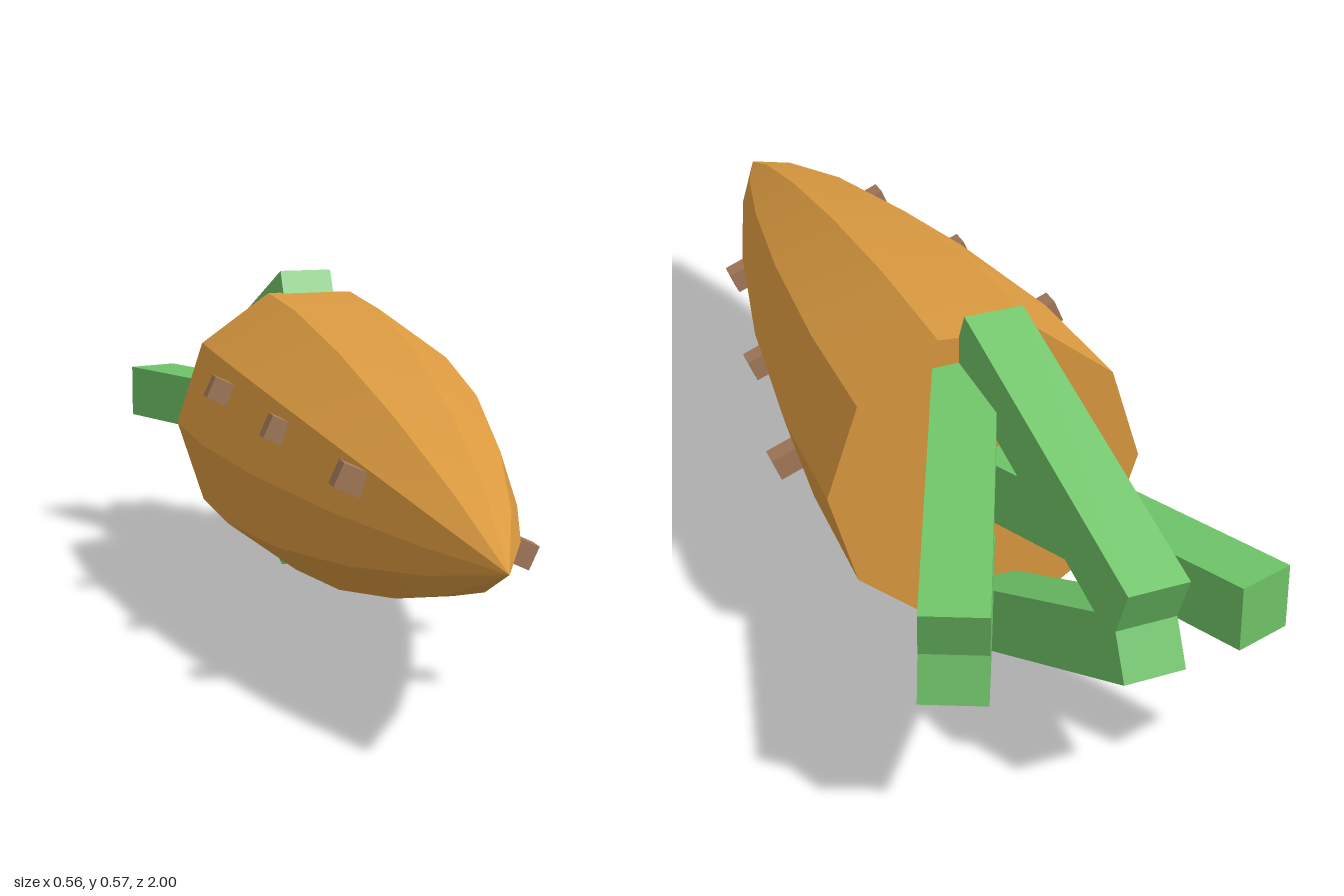
import * as THREE from 'three';
import { toCreasedNormals } from 'three/addons/utils/BufferGeometryUtils.js';

const material = (name, color) => {
  const m = new THREE.MeshStandardMaterial({ color });
  m.name = name;
  return m;
};

export function createModel() {
  const orange = material('carrot orange', 0xdb9a40);
  const green = material('leaf green', 0x6ec267);
  const brown = material('root brown', 0xa57a5a);
  const group = new THREE.Group();
  group.name = 'carrot';

  const add = (name, geometry, mat) => {
    const mesh = new THREE.Mesh(geometry, mat);
    mesh.name = name;
    group.add(mesh);
    return mesh;
  };

  // Ten-sided tapering body, tip towards +z
  const profile = [
    [0, -0.48], [0.257, -0.48], [0.25, -0.2], [0.211, 0.15],
    [0.147, 0.5], [0.076, 0.78], [0, 1],
  ].map(([r, z]) => new THREE.Vector2(r, z));
  const bodyGeometry = new THREE.LatheGeometry(profile, 10, Math.PI / 2);
  bodyGeometry.rotateX(Math.PI / 2);
  // Shift the back end slightly off the axis of the tip
  const pos = bodyGeometry.attributes.position;
  for (let i = 0; i < pos.count; i++) {
    const x = pos.getX(i) + 0.015 + 0.004 * pos.getZ(i);
    pos.setXYZ(i, x, pos.getY(i) + 0.29, pos.getZ(i));
  }
  add('body', toCreasedNormals(bodyGeometry, Math.PI / 6), orange);

  // Square leaf stalk running from one point to another
  const stalk = (name, from, to) => {
    const a = new THREE.Vector3(...from);
    const b = new THREE.Vector3(...to);
    const mesh = add(name, new THREE.BoxGeometry(0.1, 0.1, a.distanceTo(b)), green);
    mesh.position.copy(a).lerp(b, 0.5);
    mesh.lookAt(b);
  };

  // Upper and lower pairs that meet at the back, and one level side stalk
  for (const [label, s] of [['upper', 1], ['lower', -1]]) {
    stalk(label + 'MiddleStalk', [0.01, 0.29 + s * 0.24, -0.47], [-0.06, 0.29 + s * 0.025, -0.973]);
    stalk(label + 'LeftStalk', [0.045, 0.29 + s * 0.155, -0.47], [0.226, 0.29 + s * 0.022, -0.965]);
  }
  stalk('rightStalk', [0, 0.29, -0.46], [-0.235, 0.29, -0.972]);

  // Three pairs of small rootlets on a slanted line across the body
  const slant = -0.43;
  const length = 0.08;
  for (const [z, reach] of [[0.555, 0.167], [0.21, 0.223], [-0.135, 0.273]]) {
    for (const [label, s] of [['left', 1], ['right', -1]]) {
      const mesh = add(label + 'Rootlet', new THREE.BoxGeometry(length, 0.04, 0.04), brown);
      const r = s * (reach - length / 2);
      mesh.position.set(0.02 + r * Math.cos(slant), 0.29 + r * Math.sin(slant), z);
      mesh.rotation.z = slant;
    }
  }
  return group;
}
